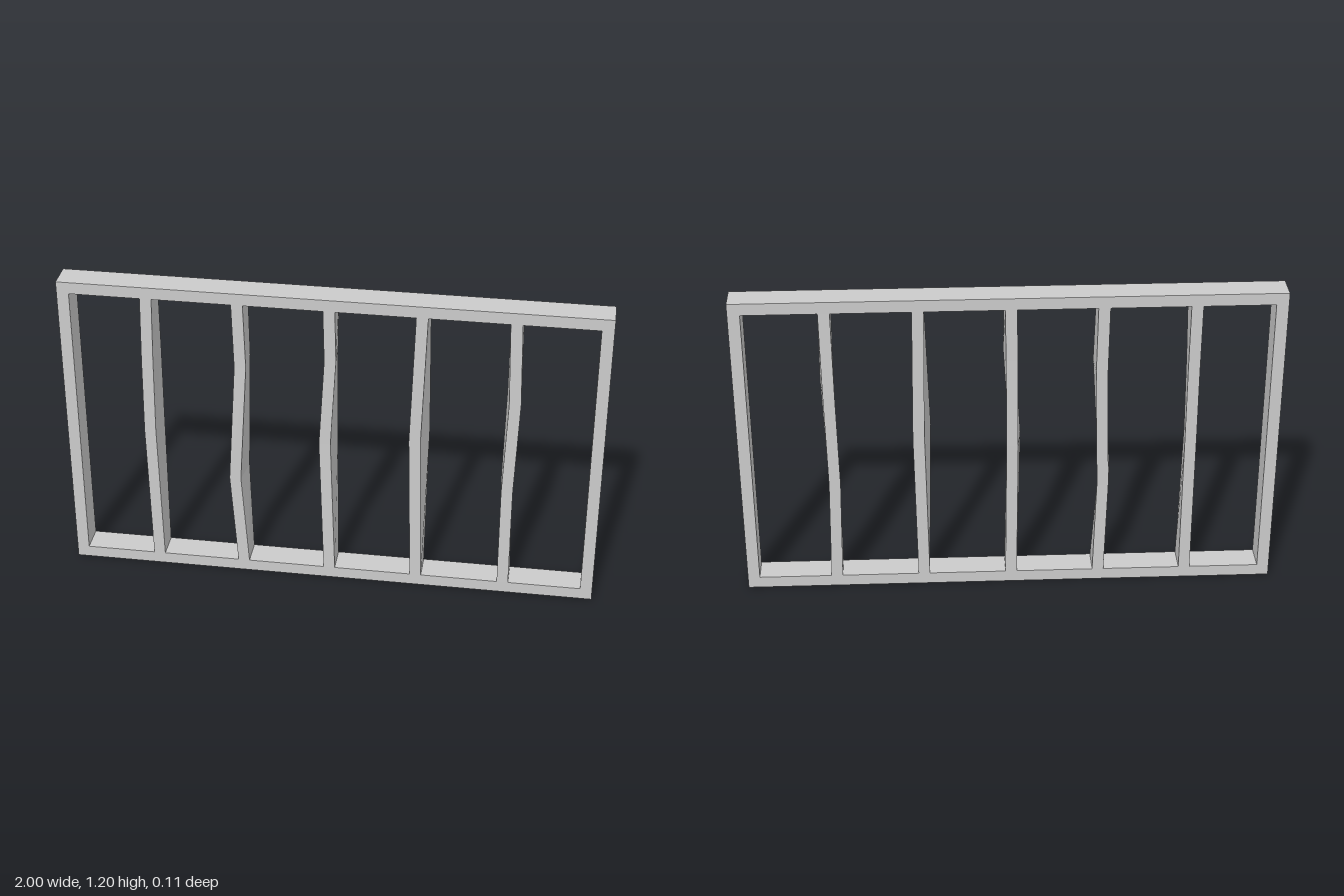
import * as THREE from 'three';

const W = 2, H = 1.2, T = 0.045, BAR = 0.043;
const FRONT = 0.055, BACK = -0.051;

const material = new THREE.MeshStandardMaterial({ color: 0xcccccc, flatShading: true });

// Rectangular frame with one opening
function createFrame() {
  const shape = new THREE.Shape();
  shape.moveTo(-W / 2, 0).lineTo(W / 2, 0).lineTo(W / 2, H).lineTo(-W / 2, H).closePath();
  const x = W / 2 - T;
  const hole = new THREE.Path();
  hole.moveTo(-x, T).lineTo(-x, H - T).lineTo(x, H - T).lineTo(x, T).closePath();
  shape.holes.push(hole);
  const geometry = new THREE.ExtrudeGeometry(shape, { depth: FRONT - BACK, bevelEnabled: false });
  geometry.translate(0, 0, BACK);
  const mesh = new THREE.Mesh(geometry, material);
  mesh.name = 'frame';
  return mesh;
}

// Warped bar: rows of [height, front x shift, back x shift, z shift]
function createBar(x, bends) {
  const rows = [[T, 0, 0, 0], ...bends, [H - T, 0, 0, 0]];
  const positions = [], index = [];
  for (const [y, front, back, dz] of rows) {
    const h = BAR / 2;
    positions.push(
      x + front - h, y, FRONT + dz, x + front + h, y, FRONT + dz,
      x + back + h, y, BACK + dz, x + back - h, y, BACK + dz);
  }
  for (let r = 0; r < rows.length - 1; r++) {
    for (let i = 0; i < 4; i++) {
      const a = r * 4 + i, b = r * 4 + (i + 1) % 4;
      index.push(a, b, b + 4, a, b + 4, a + 4);
    }
  }
  const geometry = new THREE.BufferGeometry();
  geometry.setAttribute('position', new THREE.Float32BufferAttribute(positions, 3));
  geometry.setIndex(index);
  const flat = geometry.toNonIndexed();
  flat.computeVertexNormals();
  return new THREE.Mesh(flat, material);
}

export function createModel() {
  const group = new THREE.Group();
  group.name = 'barredWindow';
  group.add(createFrame());

  // Bends of each bar, listed from bottom to top
  const bends = [
    [[0.6, -0.01, 0, 0], [0.9, -0.006, 0.001, 0]],
    [[0.42, -0.024, -0.01, 0.002], [0.9, 0.006, 0.003, 0]],
    [[0.6, -0.017, -0.004, -0.004], [0.95, 0.004, -0.003, 0]],
    [[0.64, -0.016, 0.008, -0.001]],
    [[0.45, -0.002, -0.009, -0.003], [0.83, 0.01, -0.003, -0.002]],
  ];
  bends.forEach((rows, i) => {
    const bar = createBar(-0.672 + i * 0.333, rows);
    bar.name = `bar${i + 1}`;
    group.add(bar);
  });
  return group;
}
